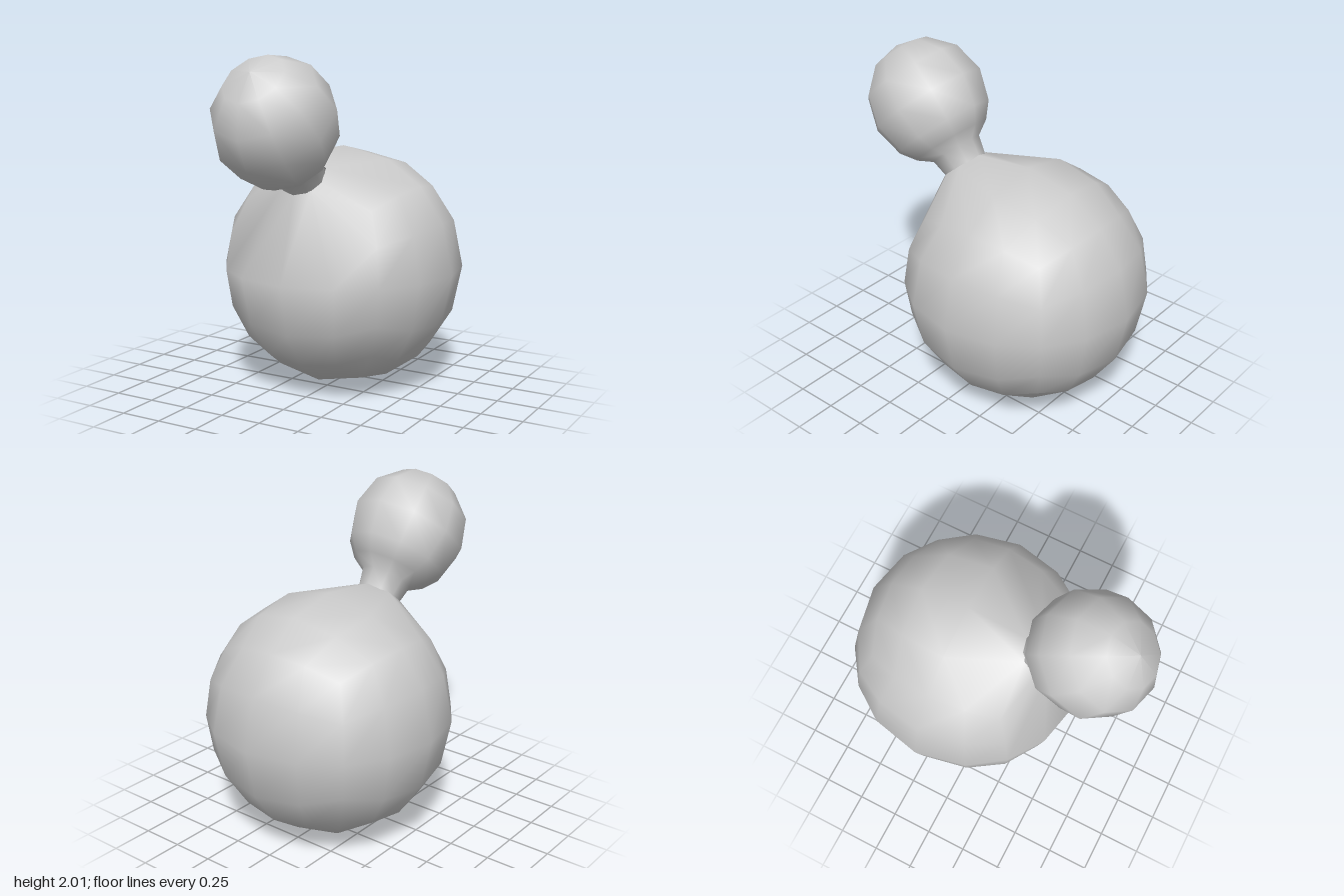
import * as THREE from 'three';
import { mergeVertices } from 'three/addons/utils/BufferGeometryUtils.js';

const TILT = 0.71; // forward lean of the neck axis
const AXIS = new THREE.Vector3(0, Math.cos(TILT), Math.sin(TILT));
const BODY_CENTER = new THREE.Vector3(0, 0.72, -0.195);
const NECK_CENTER = new THREE.Vector3(0, 1.31, 0.275);
const HEAD_CENTER = new THREE.Vector3(0, 1.64, 0.56);
const BODY_R = 0.722, NECK_R = 0.14, HEAD_R = 0.37;

// Quad sphere whose upper front patch is drawn up into the neck ring
function bodyGeometry() {
  const box = new THREE.BoxGeometry(2, 2, 2, 4, 4, 4);
  box.deleteAttribute('uv');
  box.deleteAttribute('normal');
  const geo = mergeVertices(box);
  const pos = geo.attributes.position;
  const inPatch = [];
  const v = new THREE.Vector3();
  const ease = (c) => (Math.abs(Math.abs(c) - 0.5) < 0.01 ? Math.sign(c) * 0.46 : c);
  for (let i = 0; i < pos.count; i++) {
    v.fromBufferAttribute(pos, i);
    inPatch[i] = Math.abs(v.x) < 0.6 && v.y > 0.4 && v.z > 0.4;
    v.set(ease(v.x), ease(v.y), ease(v.z)).setLength(BODY_R);
    if (inPatch[i]) {
      v.projectOnPlane(AXIS);
      if (v.length() > 0.1) v.setLength(NECK_R);
      v.add(NECK_CENTER);
    } else {
      v.add(BODY_CENTER);
    }
    pos.setXYZ(i, v.x, v.y, v.z);
  }
  // Open the patch where the neck leaves the body
  const src = geo.index.array, kept = [];
  for (let i = 0; i < src.length; i += 3) {
    const tri = [src[i], src[i + 1], src[i + 2]];
    if (!tri.every((k) => inPatch[k])) kept.push(...tri);
  }
  geo.setIndex(kept);
  geo.computeVertexNormals();
  return geo;
}

// Faceted ball turned around the neck axis, narrowing into the neck
function headGeometry() {
  const reach = HEAD_CENTER.distanceTo(NECK_CENTER);
  const profile = [
    new THREE.Vector2(NECK_R - 0.015, -reach - 0.04),
    new THREE.Vector2(NECK_R, -reach),
  ];
  for (const deg of [154, 138, 120, 90, 60, 30, 0]) {
    const a = THREE.MathUtils.degToRad(deg);
    profile.push(new THREE.Vector2(HEAD_R * Math.sin(a), HEAD_R * Math.cos(a)));
  }
  const geo = new THREE.LatheGeometry(profile, 10);
  geo.scale(0.95, 1, 1);
  geo.rotateX(TILT);
  geo.translate(HEAD_CENTER.x, HEAD_CENTER.y, HEAD_CENTER.z);
  return geo;
}

export function createModel() {
  const group = new THREE.Group();
  const material = new THREE.MeshStandardMaterial({ color: 0xcccccc, side: THREE.DoubleSide });
  const parts = { body: bodyGeometry(), headAndNeck: headGeometry() };
  for (const [name, geo] of Object.entries(parts)) {
    const mesh = new THREE.Mesh(geo, material);
    mesh.name = name;
    group.add(mesh);
  }
  return group;
}
